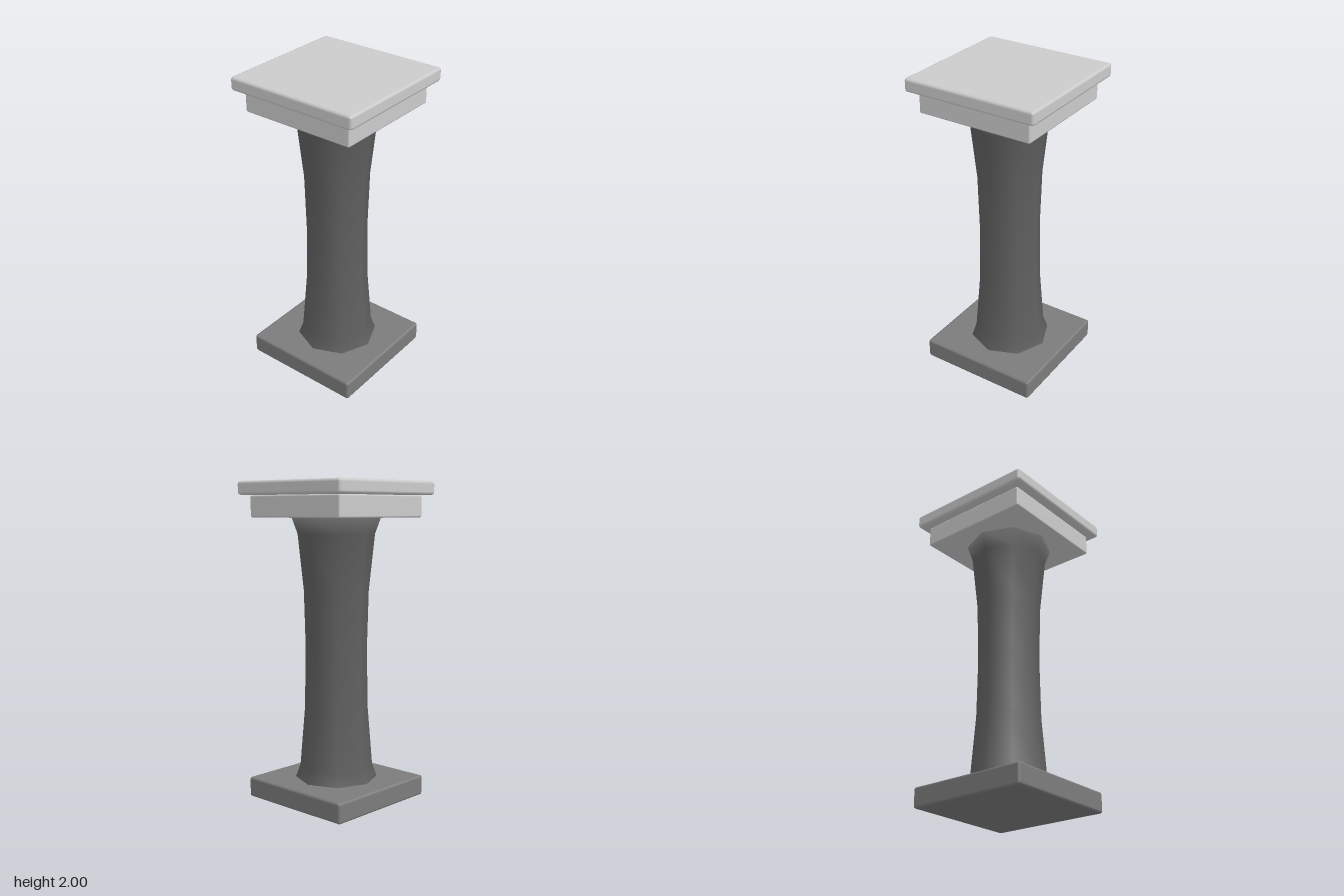
import * as THREE from 'three';
import { RoundedBoxGeometry } from 'three/addons/geometries/RoundedBoxGeometry.js';

const material = (color) => new THREE.MeshStandardMaterial({ color });

// Square slab with softly bevelled edges, spanning heights y0 to y1
function slab(name, width, y0, y1, bevel, mat) {
  const mesh = new THREE.Mesh(new RoundedBoxGeometry(width, y1 - y0, width, 1, bevel), mat);
  mesh.position.y = (y0 + y1) / 2;
  mesh.name = name;
  return mesh;
}

export function createModel() {
  const group = new THREE.Group();
  group.name = 'pedestal';
  const pale = material(0xcccccc);

  // Square plinth, and two stepped slabs at the top
  group.add(slab('plinth', 0.79, 0, 0.13, 0.016, material(0x7c7c7c)));
  group.add(slab('capital', 0.75, 1.78, 1.915, 0.01, pale));
  group.add(slab('topSlab', 0.864, 1.916, 2.001, 0.018, pale));

  // Eight-sided waisted shaft, flaring where it meets the slabs
  const profile = [
    [0, 0.001], [0.29, 0.001], [0.26, 0.13], [0.23, 0.21], [0.2, 0.58], [0.193, 0.96],
    [0.203, 1.33], [0.24, 1.68], [0.278, 1.785], [0, 1.785],
  ].map(([r, y]) => new THREE.Vector2(r, y));
  const shaft = new THREE.Mesh(new THREE.LatheGeometry(profile, 8), material(0x606060));
  shaft.name = 'shaft';
  group.add(shaft);

  return group;
}
